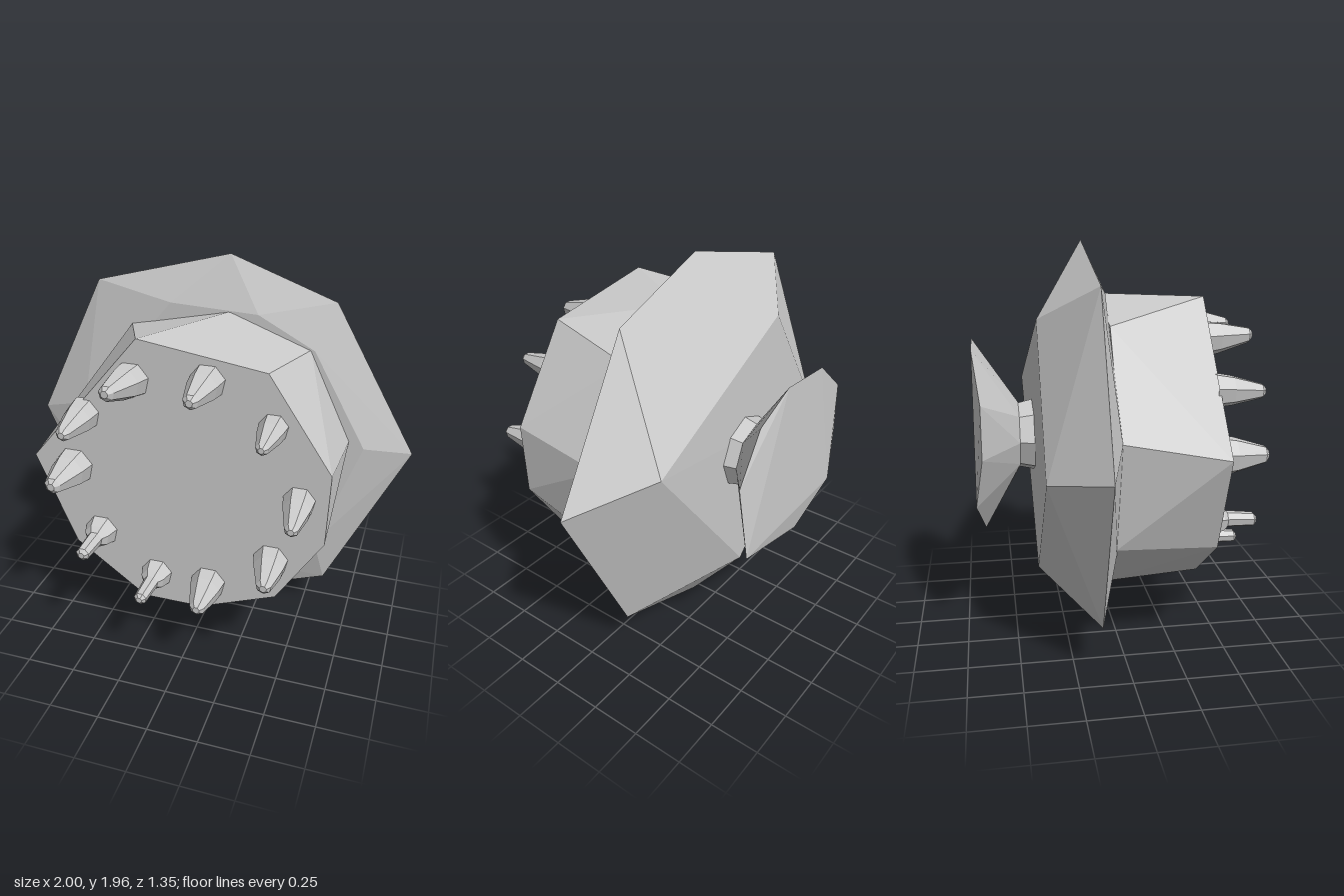
import * as THREE from 'three';
import { ConvexGeometry } from 'three/addons/geometries/ConvexGeometry.js';

const material = new THREE.MeshStandardMaterial({ color: 0xcccccc, flatShading: true });

// Ring of corners in a plane facing z; a third value overrides the depth
const ring = (z, points) => points.map(([x, y, depth = z]) => new THREE.Vector3(x, y, depth));

const circle = (z, r, sides, cx = 0, cy = 1) =>
  ring(z, Array.from({ length: sides }, (_, i) => {
    const a = (i / sides) * Math.PI * 2;
    return [cx + r * Math.cos(a), cy + r * Math.sin(a)];
  }));

// Chiselled solid wrapped around a few rings
function chiselled(name, ...rings) {
  const mesh = new THREE.Mesh(new ConvexGeometry(rings.flat()), material);
  mesh.name = name;
  return mesh;
}

// Tapered peg pointing forward, its tip shifted sideways from its base
function makePeg([x, y, r, dx, dy, tipZ, slim]) {
  const sides = 7, baseZ = 0.41, length = tipZ - baseZ;
  const stations = slim
    ? [[0, r], [0.3, r * 0.72], [0.4, r * 0.45], [0.94, r * 0.38], [1, r * 0.18]]
    : [[0, r], [0.35, r * 0.85], [0.93, r * 0.42], [1, r * 0.2]];
  const profile = stations.map(([t, radius]) => new THREE.Vector2(radius, t * length));
  profile.push(new THREE.Vector2(0, length));
  const geometry = new THREE.LatheGeometry(profile, sides);
  geometry.rotateX(Math.PI / 2);
  const p = geometry.attributes.position;
  for (let i = 0; i < p.count; i++) {
    const t = p.getZ(i) / length;
    p.setXYZ(i, p.getX(i) + dx * t, p.getY(i) + dy * t, p.getZ(i));
  }
  geometry.computeVertexNormals();
  const mesh = new THREE.Mesh(geometry, material);
  mesh.position.set(x, y, baseZ);
  mesh.name = 'peg';
  return mesh;
}

export function createModel() {
  const model = new THREE.Group();
  model.name = 'peggedDrum';

  // Drum with a flat front
  model.add(chiselled('drum',
    ring(0.425, [[0.69, 1.16], [0.39, 1.61], [-0.21, 1.7], [-0.77, 1.04], [-0.58, 0.57],
      [-0.22, 0.3], [0.08, 0.3], [0.46, 0.45], [0.68, 0.8]]),
    ring(-0.06, [[0.695, 1.1], [0.48, 1.55], [0.08, 1.7], [-0.43, 1.59], [-0.71, 1.12],
      [-0.62, 0.6], [-0.33, 0.32], [0.17, 0.3], [0.55, 0.5]])));

  // Wide flange with a sharp rim
  model.add(chiselled('flange',
    ring(-0.05, [[0.77, 1.07], [0.5, 1.55], [0.22, 1.7], [-0.22, 1.72], [-0.72, 1.12],
      [-0.58, 0.57], [-0.33, 0.3], [0.12, 0.28], [0.56, 0.48]]),
    ring(-0.13, [[1, 1.04], [0.58, 1.77], [0.06, 1.96], [-0.63, 1.78], [-1, 1.03],
      [-0.68, 0.25], [0.04, 0], [0.61, 0.21]]),
    ring(-0.378, [[0.67, 1.18, -0.408], [-0.28, 1.61], [-0.71, 0.95], [-0.04, 0.29]])));

  // Short neck and flared knob at the back
  model.add(chiselled('knobNeck', circle(-0.36, 0.19, 8), circle(-0.465, 0.165, 8)));
  model.add(chiselled('knob',
    circle(-0.46, 0.17, 8),
    ring(-0.68, [[0.12, 1.48], [-0.18, 1.46], [-0.45, 1.25, -0.645], [-0.46, 1, -0.645],
      [-0.37, 0.75], [-0.13, 0.56, -0.64], [0.4, 0.72], [0.43, 1.1, -0.645], [0.28, 1.34, -0.645]])));

  // Ring of pegs: x, y, radius, tip shift x, tip shift y, tip depth, slim
  const pegs = new THREE.Group();
  pegs.name = 'pegs';
  [
    [-0.24, 1.5, 0.09, -0.03, 0.02, 0.65],
    [0.12, 1.54, 0.085, -0.01, -0.01, 0.65],
    [0.42, 1.36, 0.07, 0, 0, 0.65],
    [0.55, 1.01, 0.078, 0.015, -0.01, 0.67],
    [0.43, 0.66, 0.088, 0.02, 0, 0.65],
    [0.12, 0.46, 0.09, 0.01, 0, 0.65],
    [-0.15, 0.46, 0.085, -0.01, -0.01, 0.65, true],
    [-0.44, 0.66, 0.09, -0.01, -0.01, 0.65, true],
    [-0.56, 1.01, 0.1, -0.015, 0, 0.65],
    [-0.49, 1.3, 0.083, -0.005, -0.01, 0.65],
  ].forEach((peg) => pegs.add(makePeg(peg)));
  model.add(pegs);

  return model;
}
